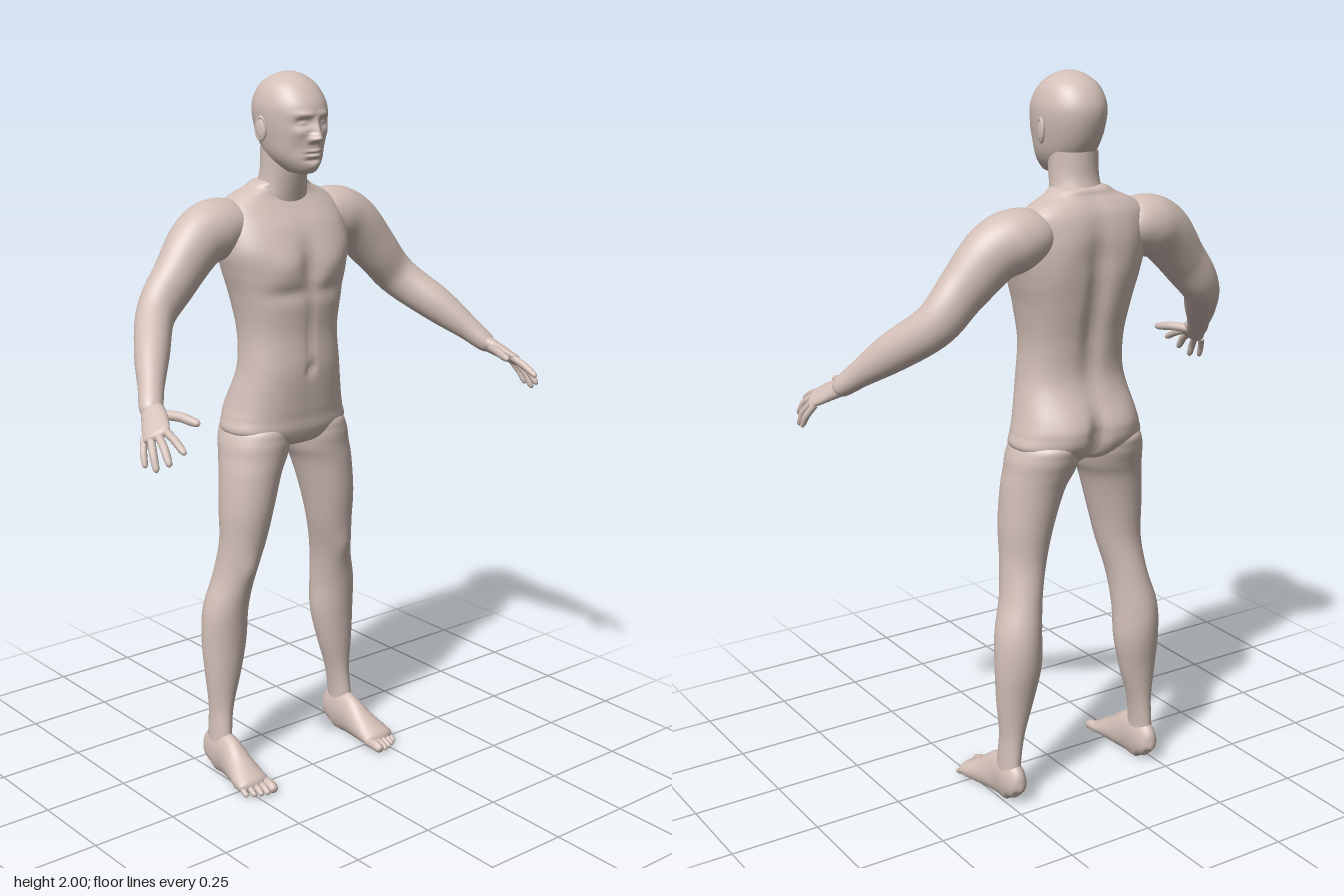
import * as THREE from 'three';

const skin = new THREE.MeshStandardMaterial({ color: 0xd3c0b8 });
skin.name = 'skin';

// Smooth interpolation through rows of numbers, t from 0 to 1
function sample(rows, t) {
  const f = t * (rows.length - 1), i = Math.min(Math.floor(f), rows.length - 2), u = f - i;
  const p = k => rows[Math.max(0, Math.min(rows.length - 1, k))];
  return rows[0].map((_, c) => {
    const a = p(i - 1)[c], b = p(i)[c], d = p(i + 1)[c], e = p(i + 2)[c];
    return b + 0.5 * u * (d - a + u * (2 * a - 5 * b + 4 * d - e + u * (3 * (b - d) + e - a)));
  });
}

// Closed skin over rings; side = -1 mirrors it in x
function surface(rings, seg, side, point) {
  const pos = [], idx = [];
  for (let i = 0; i <= rings; i++) for (let j = 0; j < seg; j++) {
    const v = point(i / rings, j / seg * Math.PI * 2);
    pos.push(v.x * side, v.y, v.z);
  }
  for (let i = 0; i < rings; i++) for (let j = 0; j < seg; j++) {
    const k = (j + 1) % seg, a = i * seg + j, b = i * seg + k, c = b + seg, d = a + seg;
    if (side > 0) idx.push(a, d, b, b, d, c);
    else idx.push(a, b, d, b, c, d);
  }
  const g = new THREE.BufferGeometry();
  g.setAttribute('position', new THREE.Float32BufferAttribute(pos, 3));
  g.setIndex(idx);
  g.computeVertexNormals();
  return g;
}

const spow = (v, e) => Math.sign(v) * Math.pow(Math.abs(v), e);

// Upright form: rows of [y, xMin, xMax, zFront, zBack], bottom to top
function upright(rows, { rings = 64, seg = 64, power = 2, side = 1, sculpt } = {}) {
  return surface(rings, seg, side, (t, a) => {
    const [y, x0, x1, zf, zb] = sample(rows, t);
    const v = new THREE.Vector3(
      (x0 + x1) / 2 + (x1 - x0) / 2 * spow(Math.cos(a), 2 / power), y,
      (zf + zb) / 2 + (zf - zb) / 2 * spow(Math.sin(a), 2 / power));
    if (sculpt) sculpt(v, Math.sin(a));
    return v;
  });
}

// Limb along a path: rows of [x, y, z, radiusU, radiusV]; ref points along U
function limb(rows, ref, { rings = 24, seg = 20, side = 1, floor = -1 } = {}) {
  const at = t => new THREE.Vector3(...sample(rows, t).slice(0, 3));
  return surface(rings, seg, side, (t, a) => {
    const [x, y, z, ru, rv] = sample(rows, t);
    const T = at(Math.min(1, t + 0.01)).sub(at(Math.max(0, t - 0.01))).normalize();
    const U = new THREE.Vector3(...ref);
    U.addScaledVector(T, -U.dot(T)).normalize();
    const V = U.clone().cross(T);
    const v = new THREE.Vector3(x, y, z)
      .addScaledVector(U, Math.max(0, ru) * Math.cos(a))
      .addScaledVector(V, Math.max(0, rv) * Math.sin(a));
    v.y = Math.max(floor, v.y);
    return v;
  });
}

// Rounded digit from root to tip through a middle joint
function digit(root, mid, tip, r, ref, options) {
  const mix = (p, q, k) => p.map((n, i) => n + (q[i] - n) * k);
  return limb([
    [...root, r, r], [...mid, r, r], [...mix(mid, tip, 0.6), r * 0.92, r * 0.88],
    [...mix(mid, tip, 0.9), r * 0.65, r * 0.6], [...tip, 0, 0],
  ], ref, { rings: 16, seg: 12, ...options });
}

const bump = (x, y, cx, cy, sx, sy) => Math.exp(-(((x - cx) / sx) ** 2) - ((y - cy) / sy) ** 2);
const sym = rows => rows.map(([y, w, f, b]) => [y, -w, w, f, b]);

// Chest, back and seat modelling
function sculptTorso(v, s) {
  const x = Math.abs(v.x), y = v.y;
  if (s > 0) {
    v.z += s * (0.012 * bump(x, y, 0.085, 1.485, 0.06, 0.045) - 0.012 * bump(x, y, 0, 1.49, 0.03, 0.08)
      - 0.008 * bump(x, y, 0.08, 1.415, 0.07, 0.02) - 0.006 * bump(x, y, 0, 1.3, 0.012, 0.12)
      - 0.01 * bump(x, y, 0, 1.2, 0.012, 0.014));
  } else {
    v.z -= s * (0.02 * bump(x, y, 0, 1.4, 0.03, 0.2) + 0.035 * bump(x, y, 0, 1.02, 0.02, 0.075));
    v.z += s * (0.008 * bump(x, y, 0.1, 1.54, 0.05, 0.07) + 0.012 * bump(x, y, 0.09, 1.06, 0.06, 0.06));
  }
}

// Face modelling: nose, brow, eye sockets, lips, chin and cheeks
function sculptHead(v, s) {
  if (s <= 0) return;
  const x = Math.abs(v.x), y = v.y;
  const ridge = y > 1.83 ? Math.max(0, 1 - (y - 1.83) / 0.06) : Math.max(0, 1 - (1.83 - y) / 0.014);
  v.z += s * (0.026 * ridge * Math.exp(-((x / (y < 1.845 ? 0.014 : 0.01)) ** 2))
    + 0.008 * bump(x, y, 0.015, 1.828, 0.008, 0.008)
    + 0.006 * bump(x, y, 0.032, 1.893, 0.028, 0.009)
    - 0.015 * bump(x, y, 0.034, 1.872, 0.019, 0.012)
    + 0.009 * bump(x, y, 0.034, 1.871, 0.011, 0.006)
    + 0.007 * bump(x, y, 0, 1.797, 0.02, 0.005) + 0.008 * bump(x, y, 0, 1.784, 0.017, 0.005)
    - 0.004 * bump(x, y, 0, 1.7905, 0.024, 0.003)
    - 0.006 * bump(x, y, 0, 1.773, 0.025, 0.006)
    + 0.005 * bump(x, y, 0, 1.753, 0.022, 0.012)
    + 0.005 * bump(x, y, 0.05, 1.845, 0.02, 0.014)
    - 0.005 * bump(x, y, 0.05, 1.8, 0.02, 0.02));
}

function sculptLeg(v, s) {
  if (s > 0) v.z += 0.008 * s * bump(v.x, v.y, 0.172, 0.63, 0.035, 0.045);
  else v.z += 0.006 * s * bump(v.x, v.y, 0.2, 0.46, 0.06, 0.09);
}

const TORSO = sym([
  [0.955, 0, -0.13, -0.13], [0.965, 0.05, -0.09, -0.17], [0.985, 0.12, -0.04, -0.22],
  [1.02, 0.19, -0.022, -0.248], [1.06, 0.186, -0.018, -0.255], [1.1, 0.175, -0.013, -0.25],
  [1.2, 0.153, -0.004, -0.215], [1.3, 0.148, -0.008, -0.22], [1.4, 0.165, -0.001, -0.24],
  [1.47, 0.185, -0.003, -0.25], [1.53, 0.2, -0.01, -0.252], [1.59, 0.195, -0.035, -0.254],
  [1.64, 0.185, -0.072, -0.245], [1.67, 0.15, -0.092, -0.23], [1.69, 0.105, -0.095, -0.215],
  [1.71, 0.07, -0.095, -0.2], [1.72, 0, -0.14, -0.14]]);
const NECK = sym([[1.64, 0.1, -0.085, -0.22], [1.67, 0.084, -0.078, -0.213],
  [1.7, 0.071, -0.07, -0.2], [1.74, 0.066, -0.06, -0.19], [1.8, 0.066, -0.05, -0.19]]);
const HEAD = sym([[1.733, 0, -0.04, -0.04], [1.737, 0.03, -0.01, -0.09], [1.76, 0.055, 0.006, -0.15],
  [1.79, 0.072, 0.01, -0.175], [1.83, 0.082, 0.013, -0.198], [1.88, 0.09, 0.016, -0.213],
  [1.92, 0.089, 0.01, -0.212], [1.96, 0.074, -0.018, -0.19], [1.985, 0.048, -0.05, -0.157],
  [1.997, 0.022, -0.08, -0.126], [2, 0, -0.103, -0.103]]);
const LEG = [[0.03, 0.22, 0.23, -0.14, -0.15], [0.05, 0.2, 0.255, -0.1, -0.195],
  [0.12, 0.198, 0.254, -0.105, -0.195], [0.2, 0.185, 0.252, -0.112, -0.195],
  [0.3, 0.155, 0.262, -0.106, -0.205], [0.4, 0.133, 0.267, -0.1, -0.218],
  [0.5, 0.13, 0.262, -0.09, -0.218], [0.6, 0.12, 0.234, -0.072, -0.205],
  [0.7, 0.095, 0.222, -0.05, -0.192], [0.8, 0.07, 0.222, -0.035, -0.2],
  [0.9, 0.04, 0.215, -0.03, -0.215], [0.95, 0.015, 0.208, -0.028, -0.23],
  [1, 0.004, 0.2, -0.026, -0.246], [1.04, 0.02, 0.175, -0.04, -0.24], [1.07, 0.09, 0.1, -0.13, -0.14]];
const ARM = [[0.1, 1.6, -0.165, 0, 0], [0.13, 1.6, -0.165, 0.055, 0.065], [0.2, 1.59, -0.165, 0.082, 0.083],
  [0.27, 1.56, -0.158, 0.08, 0.074], [0.35, 1.475, -0.145, 0.068, 0.06],
  [0.425, 1.39, -0.13, 0.059, 0.052], [0.5, 1.31, -0.04, 0.052, 0.046],
  [0.555, 1.245, 0.035, 0.036, 0.034], [0.59, 1.2, 0.085, 0.025, 0.028], [0.6, 1.19, 0.1, 0, 0]];
const PALM = [[0.58, 1.212, 0.07, 0, 0], [0.585, 1.205, 0.08, 0.027, 0.02], [0.6, 1.188, 0.115, 0.036, 0.019],
  [0.62, 1.168, 0.15, 0.038, 0.015], [0.629, 1.159, 0.168, 0.033, 0.012], [0.633, 1.154, 0.176, 0, 0]];
const ACROSS = [0.037, -0.025, -0.04];
// Root, middle joint, tip, radius
const FINGERS = [
  [[0.607, 1.175, 0.165], [0.609, 1.157, 0.215], [0.611, 1.132, 0.264], 0.0105],
  [[0.623, 1.167, 0.16], [0.634, 1.14, 0.205], [0.641, 1.1, 0.24], 0.011],
  [[0.635, 1.158, 0.148], [0.65, 1.125, 0.18], [0.657, 1.08, 0.205], 0.0105],
  [[0.642, 1.152, 0.13], [0.658, 1.12, 0.15], [0.666, 1.085, 0.168], 0.009],
  [[0.584, 1.195, 0.1], [0.556, 1.196, 0.16], [0.537, 1.186, 0.222], 0.013]];
const FOOT = [[0.226, 0.04, -0.206, 0, 0], [0.226, 0.045, -0.2, 0.023, 0.034], [0.226, 0.06, -0.165, 0.033, 0.066],
  [0.226, 0.06, -0.11, 0.034, 0.066], [0.23, 0.042, -0.05, 0.043, 0.047], [0.235, 0.029, 0, 0.051, 0.031],
  [0.235, 0.021, 0.03, 0.047, 0.021], [0.235, 0.016, 0.045, 0, 0]];

export function createModel() {
  const model = new THREE.Group();
  const add = (name, geometry, parent = model) => {
    const m = new THREE.Mesh(geometry, skin);
    m.name = name;
    parent.add(m);
    return m;
  };

  add('torso', upright(TORSO, { rings: 110, seg: 96, power: 2.4, sculpt: sculptTorso }));
  add('neck', upright(NECK, { rings: 20, seg: 40 }));
  add('head', upright(HEAD, { rings: 150, seg: 120, power: 2.1, sculpt: sculptHead }));

  for (const side of [1, -1]) {
    const half = new THREE.Group();
    half.name = side > 0 ? 'leftLimbs' : 'rightLimbs';
    model.add(half);

    // Ear: flat shell with a raised rim
    const shell = add('ear', new THREE.SphereGeometry(1, 16, 12), half);
    shell.scale.set(0.008, 0.03, 0.018);
    const rim = add('earRim', new THREE.TorusGeometry(0.024, 0.005, 8, 24), half);
    rim.scale.set(0.68, 1.2, 1);
    for (const m of [shell, rim]) m.position.set(side * 0.09, 1.853, -0.108);
    shell.rotation.set(-0.2, side * -0.25, 0);
    rim.rotation.set(0, side * (Math.PI / 2 - 0.25), 0);

    // Arm and hand
    add('arm', limb(ARM, [0, 1, 0], { rings: 60, seg: 36, side }), half);
    add('palm', limb(PALM, ACROSS, { side }), half);
    FINGERS.forEach(([a, b, c, r], i) =>
      add(i < 4 ? 'finger' : 'thumb', digit(a, b, c, r, ACROSS, { side }), half));

    // Leg, foot and toes
    add('leg', upright(LEG, { rings: 90, seg: 48, side, sculpt: sculptLeg }), half);
    add('foot', limb(FOOT, [1, 0, 0], { rings: 40, seg: 32, side, floor: 0 }), half);
    for (let i = 0; i < 5; i++) {
      const x = 0.202 + i * 0.0185 - (i ? 0 : 0.003), r = i ? 0.0105 - i * 0.0004 : 0.0155;
      const tip = 0.08 - i * i * 0.0018;
      add('toe', digit([x, 0.02, tip - 0.06], [x, 0.02, tip - 0.03], [x + 0.002, r * 0.8, tip], r,
        [1, 0, 0], { side, floor: 0 }), half);
    }
  }
  return model;
}
